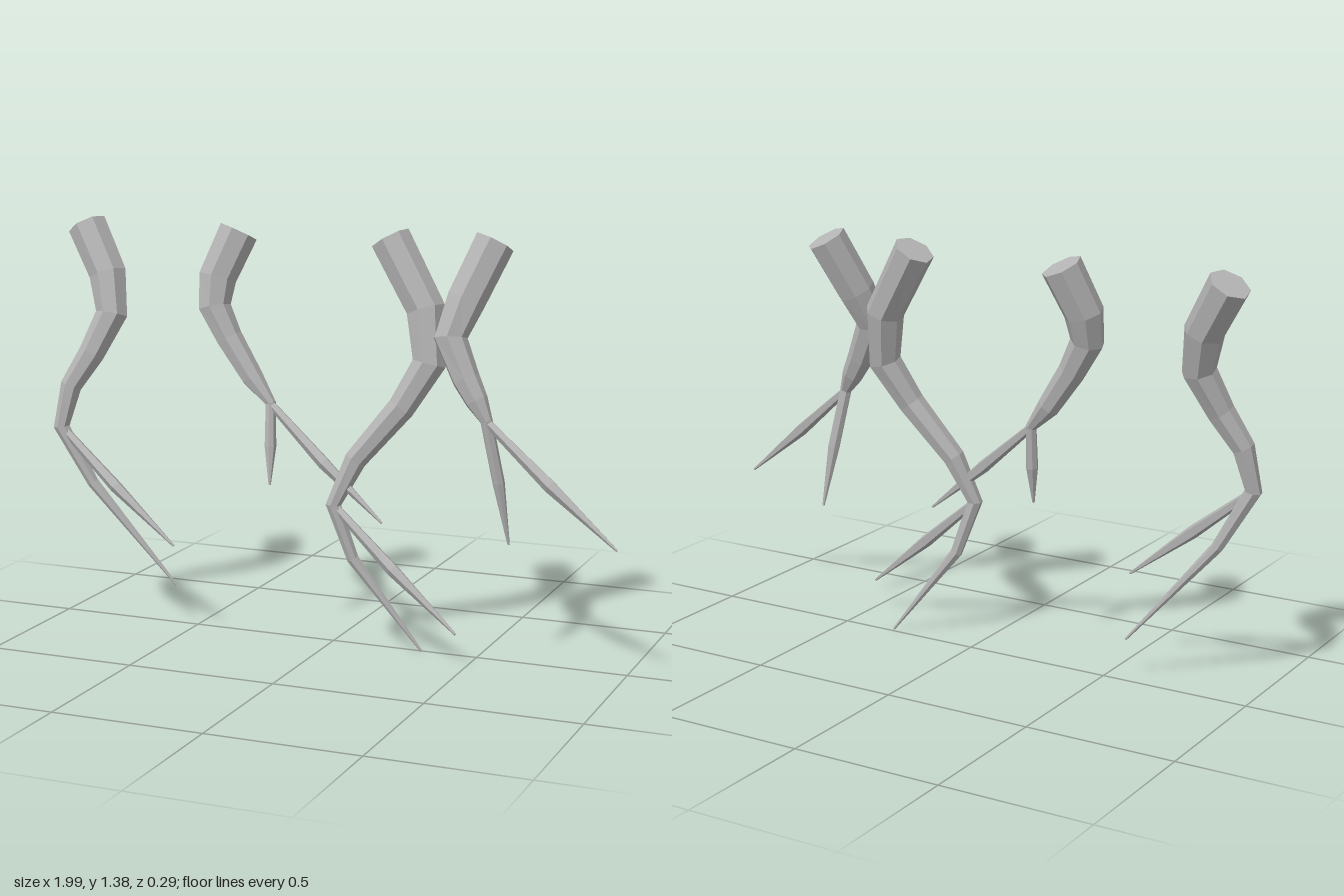
import * as THREE from 'three';

const vec = ([x, y, z]) => new THREE.Vector3(x, y, z);

// Tapered, capped tube through centres, with one radius per centre
function taperedTube(centres, radii, sides) {
  const last = centres.length - 1;
  const verts = [], index = [];
  const u = new THREE.Vector3(0, 0, 1);
  centres.forEach((p, i) => {
    // ring lies across the mean of the two neighbouring directions
    const t = new THREE.Vector3();
    if (i > 0) t.add(p.clone().sub(centres[i - 1]).normalize());
    if (i < last) t.add(centres[i + 1].clone().sub(p).normalize());
    t.normalize();
    u.addScaledVector(t, -u.dot(t)).normalize();
    const v = t.clone().cross(u);
    for (let j = 0; j < sides; j++) {
      const a = (j / sides) * Math.PI * 2;
      const q = p.clone()
        .addScaledVector(u, Math.cos(a) * radii[i])
        .addScaledVector(v, Math.sin(a) * radii[i]);
      verts.push(q.x, q.y, q.z);
    }
  });
  for (let i = 0; i < last; i++) {
    for (let j = 0; j < sides; j++) {
      const a = i * sides + j, b = i * sides + (j + 1) % sides;
      index.push(a, b, a + sides, b, b + sides, a + sides);
    }
  }
  // end caps
  const e = last * sides;
  for (let j = 1; j < sides - 1; j++) {
    index.push(0, j + 1, j, e, e + j, e + j + 1);
  }
  const indexed = new THREE.BufferGeometry();
  indexed.setAttribute('position', new THREE.Float32BufferAttribute(verts, 3));
  indexed.setIndex(index);
  const flat = indexed.toNonIndexed();
  flat.computeVertexNormals();
  return flat;
}

// Root: a stem that runs on past its fork as the lower prong, and a side prong
function makeRoot(name, material, forkRadius, path, sideTip) {
  const root = new THREE.Group();
  root.name = name;
  const add = (part, centres, radii, sides) => {
    const mesh = new THREE.Mesh(taperedTube(centres, radii, sides), material);
    mesh.name = part;
    root.add(mesh);
  };
  const centres = path.map(vec);
  add('stem', centres, [0.067, 0.064, 0.055, 0.045, 0.037, forkRadius, 0.02, 0.004], 7);

  // side prong: widest halfway, bowed slightly forward
  const fork = centres[5], tip = vec(sideTip);
  const middle = fork.clone().lerp(tip, 0.5);
  middle.z += 0.012;
  add('sideProng', [fork, middle, tip], [0.014, 0.022, 0.004], 5);
  return root;
}

export function createModel() {
  const model = new THREE.Group();
  model.name = 'roots';
  const grey = new THREE.MeshStandardMaterial({ color: 0xb4b4b4 });
  grey.name = 'grey';

  // each path: six stem centres down to the fork, then the lower prong
  model.add(
    makeRoot('rootFarRight', grey, 0.028, [
      [-0.94, 1.34, -0.085], [-0.845, 1.18, -0.05], [-0.815, 1.05, -0.015], [-0.87, 0.92, 0.03],
      [-0.935, 0.81, 0.06], [-0.965, 0.67, 0.08], [-0.86, 0.48, 0.06], [-0.57, 0.135, 0.015],
    ], [-0.515, 0.31, 0.145]),
    makeRoot('rootMidRight', grey, 0.018, [
      [-0.375, 1.34, -0.085], [-0.43, 1.19, -0.035], [-0.43, 1.095, -0.01], [-0.375, 0.995, -0.005],
      [-0.29, 0.87, 0], [-0.22, 0.79, 0.01], [-0.213, 0.65, 0.03], [-0.205, 0.525, 0.055],
    ], [0.2, 0.44, 0.08]),
    makeRoot('rootMidLeft', grey, 0.026, [
      [0.165, 1.34, -0.075], [0.295, 1.12, -0.055], [0.318, 0.95, -0.025], [0.24, 0.81, 0.015],
      [0.097, 0.635, 0.05], [0.03, 0.485, 0.075], [0.09, 0.305, 0.055], [0.315, 0.004, 0.012],
    ], [0.475, 0.115, 0.14]),
    makeRoot('rootFarLeft', grey, 0.02, [
      [0.52, 1.345, -0.06], [0.45, 1.165, 0.01], [0.417, 1.05, 0.055], [0.476, 0.925, 0.07],
      [0.515, 0.86, 0.078], [0.55, 0.8, 0.085], [0.583, 0.6, 0.055], [0.61, 0.395, 0.025],
    ], [0.995, 0.44, 0.145]),
  );
  return model;
}
